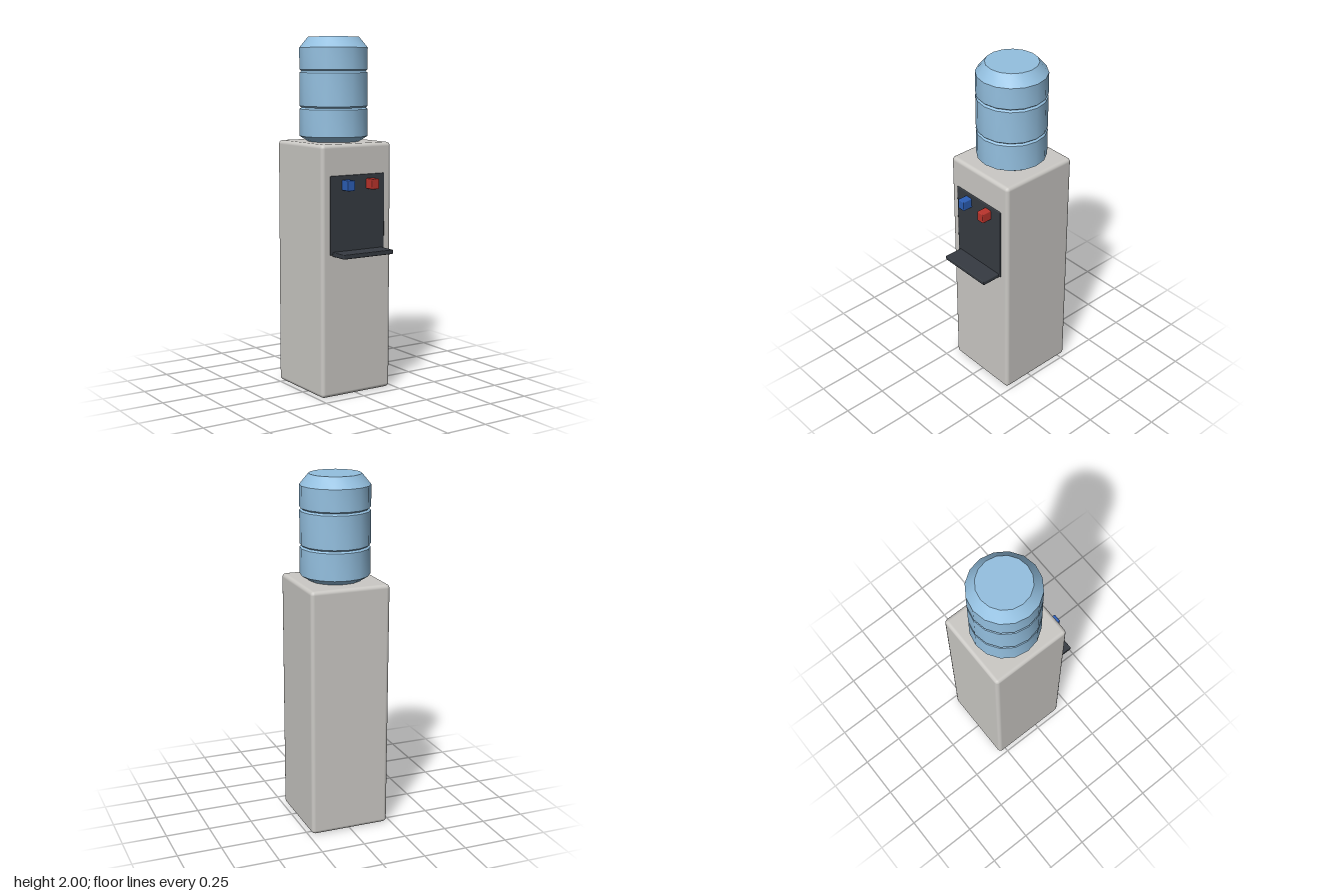
import * as THREE from 'three';
import { RoundedBoxGeometry } from 'three/addons/geometries/RoundedBoxGeometry.js';
import { toCreasedNormals } from 'three/addons/utils/BufferGeometryUtils.js';

const material = (name, color) => {
  const m = new THREE.MeshStandardMaterial({ color });
  m.name = name;
  return m;
};

export function createModel() {
  const group = new THREE.Group();
  group.name = 'waterCooler';
  const casing = material('warmGrey', 0xcbc9c5);
  const water = material('waterBlue', 0x94c0e0);
  const dark = material('charcoal', 0x363b42);
  const cold = material('coldBlue', 0x2c5fb8);
  const hot = material('hotRed', 0xbb342c);

  // Rounded box given by its lowest and highest corners
  const box = (name, mat, min, max, radius, segments = 1) => {
    const size = max.map((v, i) => v - min[i]);
    const mesh = new THREE.Mesh(new RoundedBoxGeometry(...size, segments, radius), mat);
    mesh.position.set(...max.map((v, i) => (v + min[i]) / 2));
    mesh.name = name;
    group.add(mesh);
  };

  // Cabinet
  box('cabinet', casing, [-0.23, 0, -0.297], [0.23, 1.416, 0.18], 0.022, 2);

  // Dispensing panel, drip tray and taps
  box('panel', dark, [-0.18, 0.808, 0.165], [0.18, 1.245, 0.186], 0.005);
  box('dripTray', dark, [-0.165, 0.8, 0.16], [0.165, 0.825, 0.296], 0.005);
  for (const [name, mat, x] of [['coldTap', cold, -0.08], ['hotTap', hot, 0.08]]) {
    box(name, mat, [x - 0.024, 1.163, 0.17], [x + 0.024, 1.221, 0.244], 0.005);
  }

  // Bottle: tapered ends and two narrow grooves
  const profile = [[0, 1.4], [0.13, 1.4], [0.145, 1.415], [0.195, 1.447]];
  for (const y of [1.607, 1.81]) profile.push([0.195, y - 0.009], [0.184, y], [0.195, y + 0.009]);
  profile.push([0.195, 1.94], [0.145, 2], [0, 2]);
  const lathe = new THREE.LatheGeometry(profile.map(([r, y]) => new THREE.Vector2(r, y)), 16);
  const bottle = new THREE.Mesh(toCreasedNormals(lathe, 0.5), water);
  bottle.position.z = -0.06;
  bottle.name = 'bottle';
  group.add(bottle);

  return group;
}
